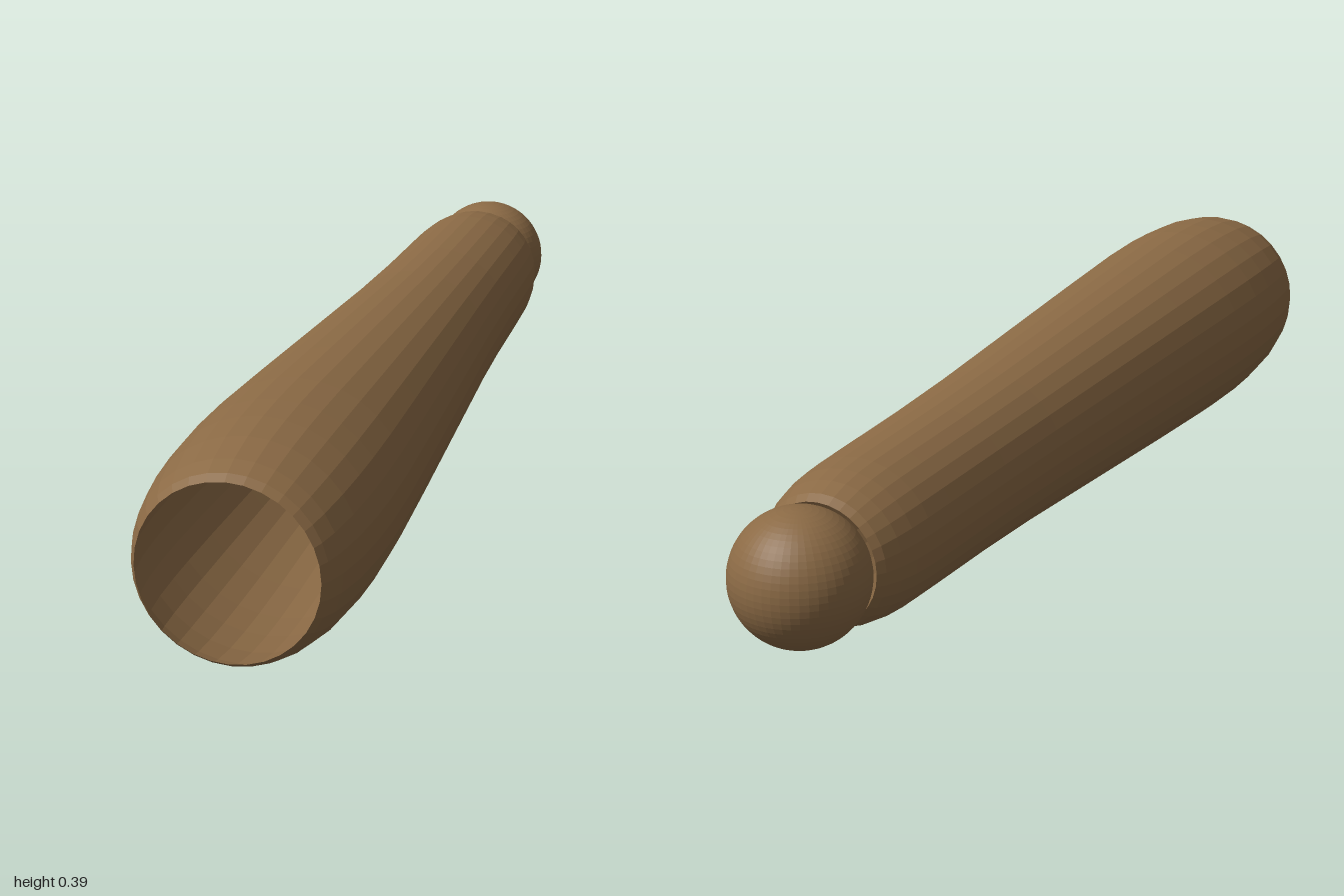
import * as THREE from 'three';

export function createModel() {
  const model = new THREE.Group();
  const axisY = 0.196;
  const wood = new THREE.MeshStandardMaterial({ color: 0x8b6a45, flatShading: true, side: THREE.DoubleSide });

  // Hollow tapered sleeve, open at both ends: [z, radius] from back to front
  const profile = [
    [-0.82, 0.108], [-0.805, 0.118], [-0.77, 0.129], [-0.73, 0.136], [-0.68, 0.14],
    [-0.6, 0.142], [-0.4, 0.146], [-0.2, 0.153], [0, 0.163], [0.2, 0.173], [0.4, 0.183],
    [0.6, 0.192], [0.72, 0.194], [0.8, 0.192], [0.88, 0.186], [0.95, 0.174], [0.985, 0.163], [1, 0.153],
  ].map(([z, r]) => new THREE.Vector2(r, z));
  const sleeve = new THREE.Mesh(new THREE.LatheGeometry(profile, 32).rotateX(Math.PI / 2), wood);
  sleeve.name = 'sleeve';
  sleeve.position.y = axisY;
  model.add(sleeve);

  // Ball seated in the narrow back end
  const ball = new THREE.Mesh(new THREE.SphereGeometry(0.119, 48, 32), wood);
  ball.name = 'endBall';
  ball.position.set(0, axisY, -0.881);
  model.add(ball);

  return model;
}
